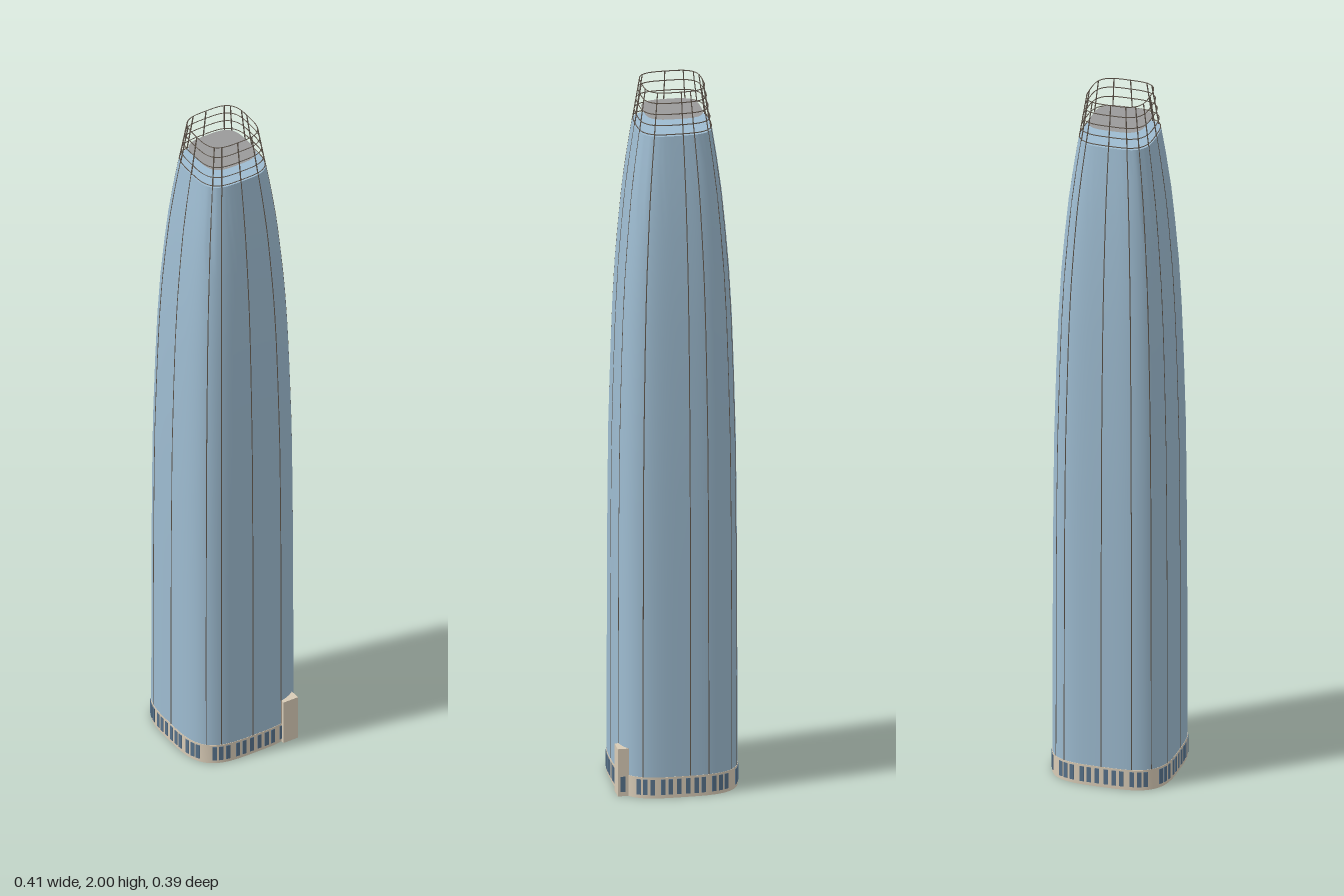
import * as THREE from 'three';
import { mergeVertices, toCreasedNormals } from 'three/addons/utils/BufferGeometryUtils.js';

const mat = (color, side = THREE.FrontSide) =>
  new THREE.MeshStandardMaterial({ color, side });
const glass = mat(0x9dbbd0);
const stone = mat(0xd8cbb6);
const metal = mat(0x5f564c);
const pane = mat(0x56718a);
const roofGrey = mat(0x9a9a9a, THREE.DoubleSide);

const CX = -0.01; // tower axis, offset to balance the annex
const CROWN_Y = 1.88;

// Half diagonal of the tower at each height
const PROFILE = [
  [0.06, 0.195], [0.6, 0.194], [0.85, 0.192], [1.0, 0.19], [1.2, 0.184], [1.35, 0.178],
  [1.48, 0.17], [1.6, 0.159], [1.7, 0.148], [1.8, 0.133], [CROWN_Y, 0.119], [2.0, 0.0975],
];
function halfDiagonal(y) {
  if (y <= PROFILE[0][0]) return PROFILE[0][1];
  for (let i = 1; i < PROFILE.length; i++) {
    const [y0, r0] = PROFILE[i - 1], [y1, r1] = PROFILE[i];
    if (y <= y1) return r0 + (r1 - r0) * (y - y0) / (y1 - y0);
  }
  return PROFILE[PROFILE.length - 1][1];
}

// Rounded diamond plan: radius by angle, 1 at the corners
const N = 3.5;
function planRadius(a) {
  const c = Math.abs(Math.cos(a - Math.PI / 4)), s = Math.abs(Math.sin(a - Math.PI / 4));
  return Math.SQRT1_2 * Math.pow(2 / (c ** N + s ** N), 1 / N);
}
function planPoint(a, r, y) {
  const k = r * planRadius(a);
  return new THREE.Vector3(Math.cos(a) * k, y, Math.sin(a) * k);
}

// Lathe whose round plan is reshaped into the rounded diamond
function diamondLathe(points) {
  let g = new THREE.LatheGeometry(points.map(([r, y]) => new THREE.Vector2(r, y)), 96);
  const p = g.attributes.position;
  for (let i = 0; i < p.count; i++) {
    const k = planRadius(Math.atan2(p.getZ(i), p.getX(i)));
    p.setXYZ(i, p.getX(i) * k, p.getY(i), p.getZ(i) * k);
  }
  g.deleteAttribute('uv');
  g.deleteAttribute('normal');
  return toCreasedNormals(mergeVertices(g, 1e-5), 0.5);
}

function add(parent, name, geometry, material) {
  const m = new THREE.Mesh(geometry, material);
  m.name = name;
  parent.add(m);
  return m;
}

export function createModel() {
  const model = new THREE.Group();
  model.name = 'tower';
  const tower = new THREE.Group();
  tower.name = 'towerBody';
  tower.position.x = CX;
  model.add(tower);

  // Tapering glass shaft with a flat top
  const wall = PROFILE.filter(([y]) => y <= CROWN_Y).map(([y, r]) => [r, y]);
  add(tower, 'glassShaft', diamondLathe([...wall, [0, CROWN_Y]]), glass);

  // Stone ground floor
  add(tower, 'groundFloor',
    diamondLathe([[0, 0], [0.196, 0], [0.196, 0.06], [0.19, 0.06]]), stone);

  // Roof deck inside the open crown
  add(tower, 'roofDeck', diamondLathe([[0.092, 1.92], [0, 1.92]]), roofGrey);

  // Facade ribs, rising through the crown
  const ribs = new THREE.Group();
  ribs.name = 'facadeRibs';
  tower.add(ribs);
  const ribAngles = [-178, -162, -134.6, -100, -90, -67.8, -51.4, -10, 17.5, 47.6, 78, 90, 132.4, 164.7];
  for (const deg of ribAngles) {
    const a = THREE.MathUtils.degToRad(deg);
    const path = new THREE.CatmullRomCurve3(
      PROFILE.map(([y, r]) => planPoint(a, r - 0.0008, y)));
    add(ribs, 'rib', new THREE.TubeGeometry(path, 40, 0.0018, 4), metal);
  }

  // Crown rings
  const crown = new THREE.Group();
  crown.name = 'crownRings';
  tower.add(crown);
  for (const y of [1.885, 1.91, 1.94, 1.97, 1.9985]) {
    const pts = [];
    for (let i = 0; i < 48; i++)
      pts.push(planPoint(i / 48 * Math.PI * 2, halfDiagonal(y) - 0.0008, y));
    const path = new THREE.CatmullRomCurve3(pts, true);
    add(crown, 'crownRing', new THREE.TubeGeometry(path, 96, 0.0015, 4, true), metal);
  }

  // Ground floor windows, the same row on all four sides
  const windows = new THREE.Group();
  windows.name = 'groundFloorWindows';
  tower.add(windows);
  const windowGeo = new THREE.BoxGeometry(0.012, 0.044, 0.004);
  const offsets = [-0.128, -0.106, -0.084, -0.054, -0.034, -0.012, 0.012, 0.034, 0.054, 0.084, 0.106, 0.128];
  for (let side = 0; side < 4; side++) {
    for (const v of offsets) {
      const a = Math.PI / 4 + side * Math.PI / 2 + Math.atan2(v, 0.163);
      const w = add(windows, 'window', windowGeo, pane);
      w.position.copy(planPoint(a, 0.1955, 0.032));
      const t = planPoint(a + 0.01, 1, 0).sub(planPoint(a - 0.01, 1, 0));
      w.rotation.y = Math.atan2(t.z, -t.x);
    }
  }

  // Entrance annex on one flank, turned to match the wall
  const annex = new THREE.Group();
  annex.name = 'entranceAnnex';
  annex.position.set(0.177, 0, 0.0335);
  annex.rotation.y = Math.PI / 4;
  model.add(annex);
  const block = add(annex, 'annexBlock', new THREE.BoxGeometry(0.046, 0.136, 0.036), stone);
  block.position.y = 0.068;
  const sideWindow = add(annex, 'annexWindow', new THREE.BoxGeometry(0.002, 0.044, 0.014), pane);
  sideWindow.position.set(0.0225, 0.034, 0.004);

  return model;
}
